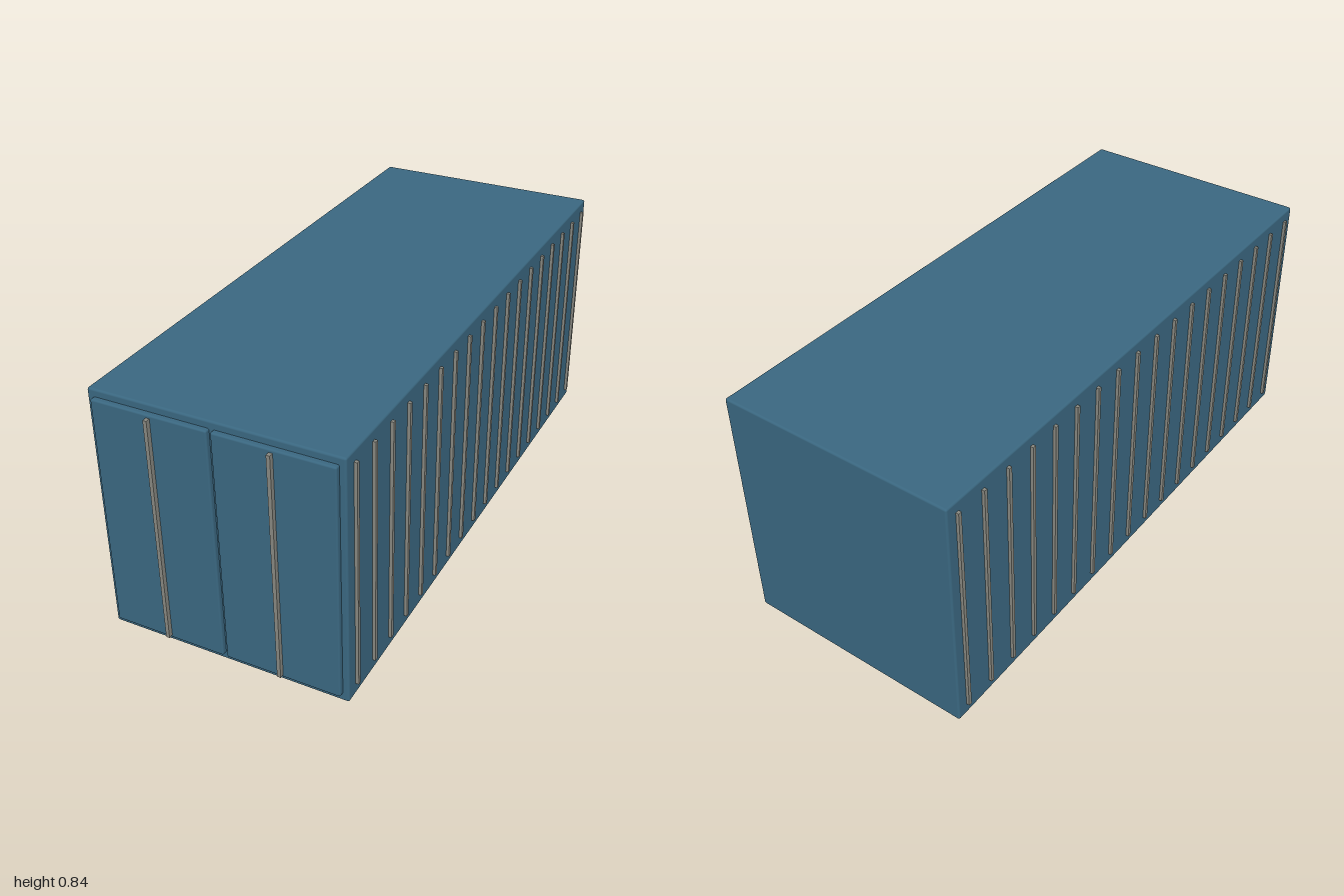
import * as THREE from 'three';
import { RoundedBoxGeometry } from 'three/addons/geometries/RoundedBoxGeometry.js';

export function createModel() {
  const model = new THREE.Group();
  const paint = new THREE.MeshStandardMaterial({ color: 0x3a6780 });
  const steel = new THREE.MeshStandardMaterial({ color: 0x888880 });

  const add = (name, geometry, material, x, y, z) => {
    const mesh = new THREE.Mesh(geometry, material);
    mesh.name = name;
    mesh.position.set(x, y, z);
    model.add(mesh);
  };

  // Main shell with softly bevelled edges
  add('containerBody', new RoundedBoxGeometry(0.816, 0.844, 1.968, 2, 0.007), paint, 0, 0.422, -0.016);

  // Double doors, each with an upright locking bar
  const door = new RoundedBoxGeometry(0.382, 0.794, 0.03, 2, 0.006);
  const bar = new THREE.BoxGeometry(0.012, 0.774, 0.02);
  for (const [side, s] of [['left', 1], ['right', -1]]) {
    add(side + 'Door', door, paint, s * 0.197, 0.423, 0.97);
    add(side + 'LockingBar', bar, steel, s * 0.194, 0.423, 0.99);
  }

  // Evenly spaced upright ribs along both side walls
  const ribs = 18;
  const rib = new THREE.BoxGeometry(0.02, 0.77, 0.012);
  for (let i = 0; i < ribs; i++) {
    const z = -0.957 + (i * 1.877) / (ribs - 1);
    add('leftRib', rib, steel, 0.408, 0.424, z);
    add('rightRib', rib, steel, -0.408, 0.424, z);
  }

  return model;
}
